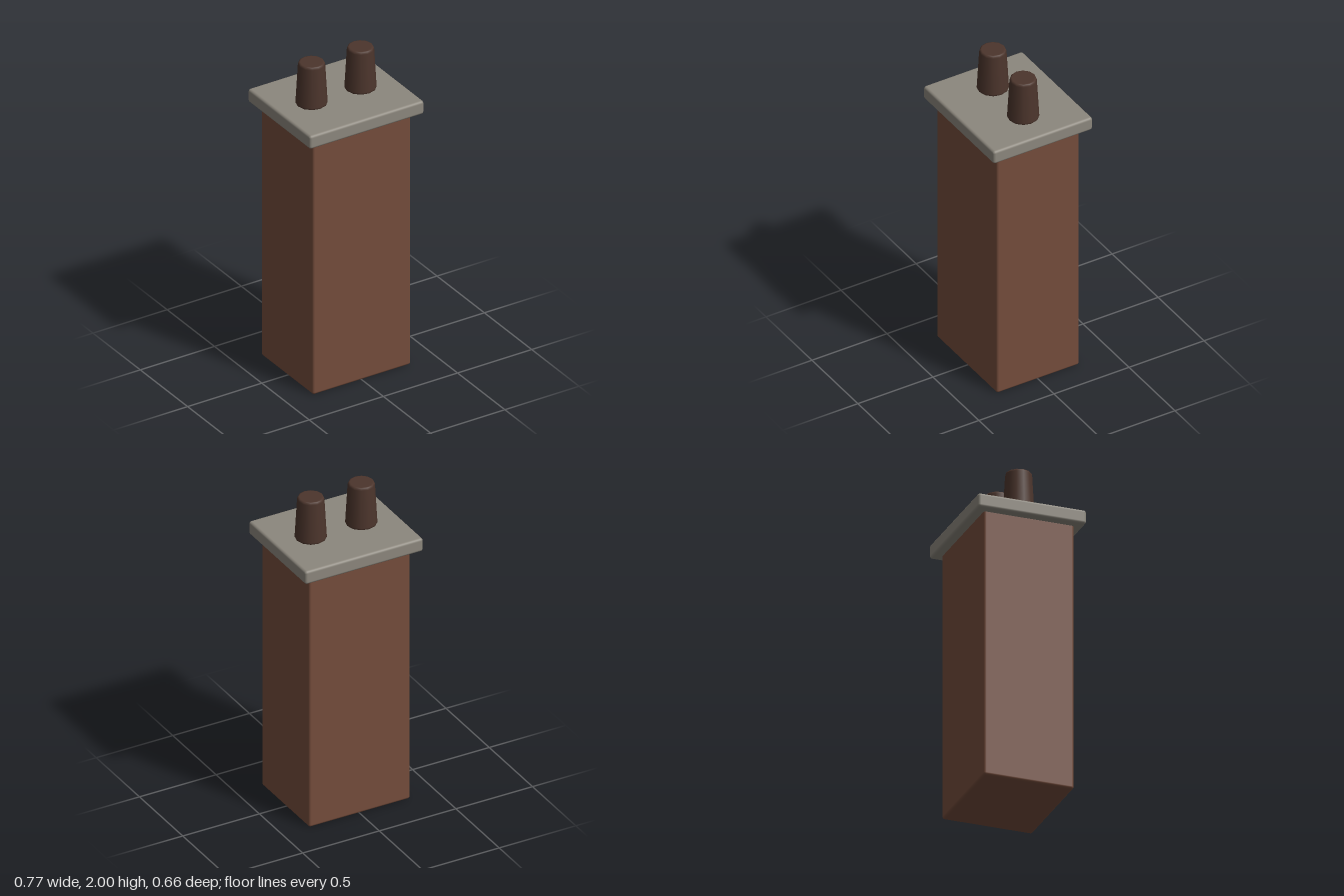
import * as THREE from 'three';
import { RoundedBoxGeometry } from 'three/addons/geometries/RoundedBoxGeometry.js';

const material = (name, color) => {
  const m = new THREE.MeshStandardMaterial({ color });
  m.name = name;
  return m;
};

export function createModel() {
  const group = new THREE.Group();
  group.name = 'chimney';
  const brick = material('brick', 0x744c3b);
  const stone = material('stone', 0x8c877d);
  const clay = material('dark clay', 0x4c352c);

  const add = (name, geometry, mat, x, y) => {
    const mesh = new THREE.Mesh(geometry, mat);
    mesh.name = name;
    mesh.position.set(x, y, 0);
    group.add(mesh);
  };

  // Brick stack and overhanging stone slab, both with softened edges
  add('stack', new RoundedBoxGeometry(0.66, 1.66, 0.55, 3, 0.015), brick, 0, 0.83);
  add('capSlab', new RoundedBoxGeometry(0.77, 0.086, 0.66, 3, 0.016), stone, 0, 1.69);

  // Tapered twelve-sided pots with a rounded rim and closed top
  const profile = [
    [0, 0], [0.086, 0], [0.092, 0.006], [0.0915, 0.014],
    [0.078, 0.255], [0.0765, 0.262], [0.0725, 0.268], [0.067, 0.27], [0.062, 0.27], [0, 0.27],
  ].map(([r, y]) => new THREE.Vector2(r, y));
  const pot = new THREE.LatheGeometry(profile, 12);
  for (const [name, x] of [['leftPot', 0.165], ['rightPot', -0.165]]) add(name, pot, clay, x, 1.73);

  return group;
}
